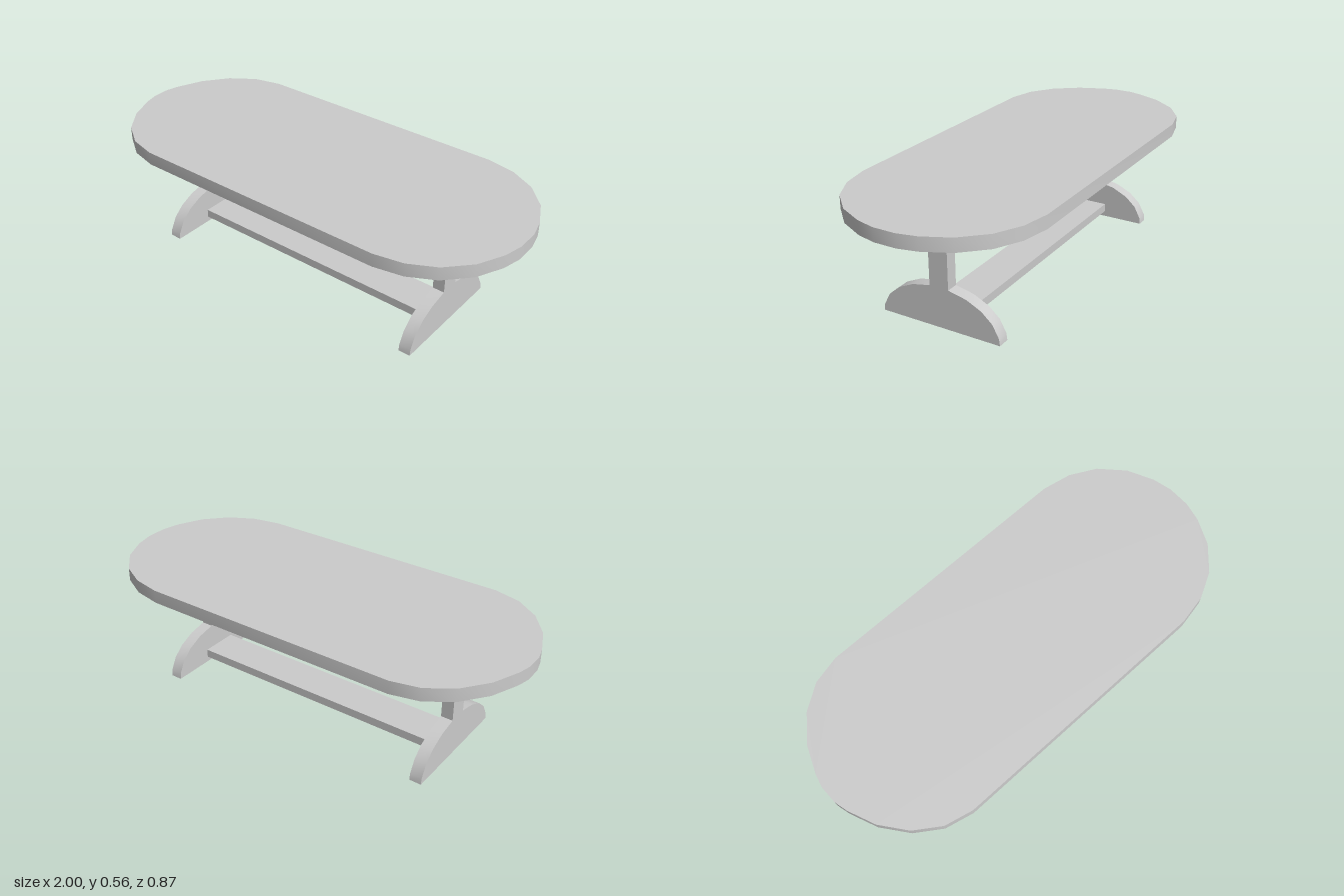
import * as THREE from 'three';
import { toCreasedNormals } from 'three/addons/utils/BufferGeometryUtils.js';

const material = new THREE.MeshStandardMaterial({ color: 0xcccccc });

function part(name, geometry) {
  const mesh = new THREE.Mesh(geometry, material);
  mesh.name = name;
  return mesh;
}

// Extrude a closed outline; shallow corners stay smooth, sharp ones crisp
function slab(points, depth) {
  const shape = new THREE.Shape(points.map(([x, y]) => new THREE.Vector2(x, y)));
  return new THREE.ExtrudeGeometry(shape, { depth, bevelEnabled: false });
}
const crease = (geometry) => toCreasedNormals(geometry, 0.55);

export function createModel() {
  const table = new THREE.Group();
  table.name = 'trestleTable';

  // Oval top: half outline along one long side, mirrored across the long axis
  const half = [
    [1, 0.05], [0.98, 0.135], [0.925, 0.25], [0.83, 0.35], [0.715, 0.41], [0.585, 0.435],
    [-0.615, 0.435], [-0.74, 0.405], [-0.85, 0.33], [-0.935, 0.22], [-0.985, 0.1], [-1, 0.04],
  ];
  const outline = [...half, ...half.map(([x, z]) => [x, -z]).reverse()];
  const top = slab(outline, 0.06);
  top.rotateX(-Math.PI / 2).translate(0, 0.5, 0);
  table.add(part('tableTop', crease(top)));

  // Trestles: a domed foot and its post cut as one board
  const side = [
    [0.284, 0], [0.28, 0.03], [0.25, 0.086], [0.2, 0.13],
    [0.13, 0.163], [0.045, 0.181], [0.045, 0.5],
  ];
  const profile = [...side, ...side.map(([z, y]) => [-z, y]).reverse()];
  for (const [name, x] of [['leftTrestle', 0.632], ['rightTrestle', -0.7]]) {
    const board = slab(profile, 0.055);
    board.rotateY(Math.PI / 2).translate(x, 0, 0);
    table.add(part(name, crease(board)));
  }

  // Flat stretcher between the feet
  const stretcher = new THREE.BoxGeometry(1.278, 0.04, 0.175);
  stretcher.translate(-0.006, 0.045, 0);
  table.add(part('stretcher', stretcher));

  return table;
}
